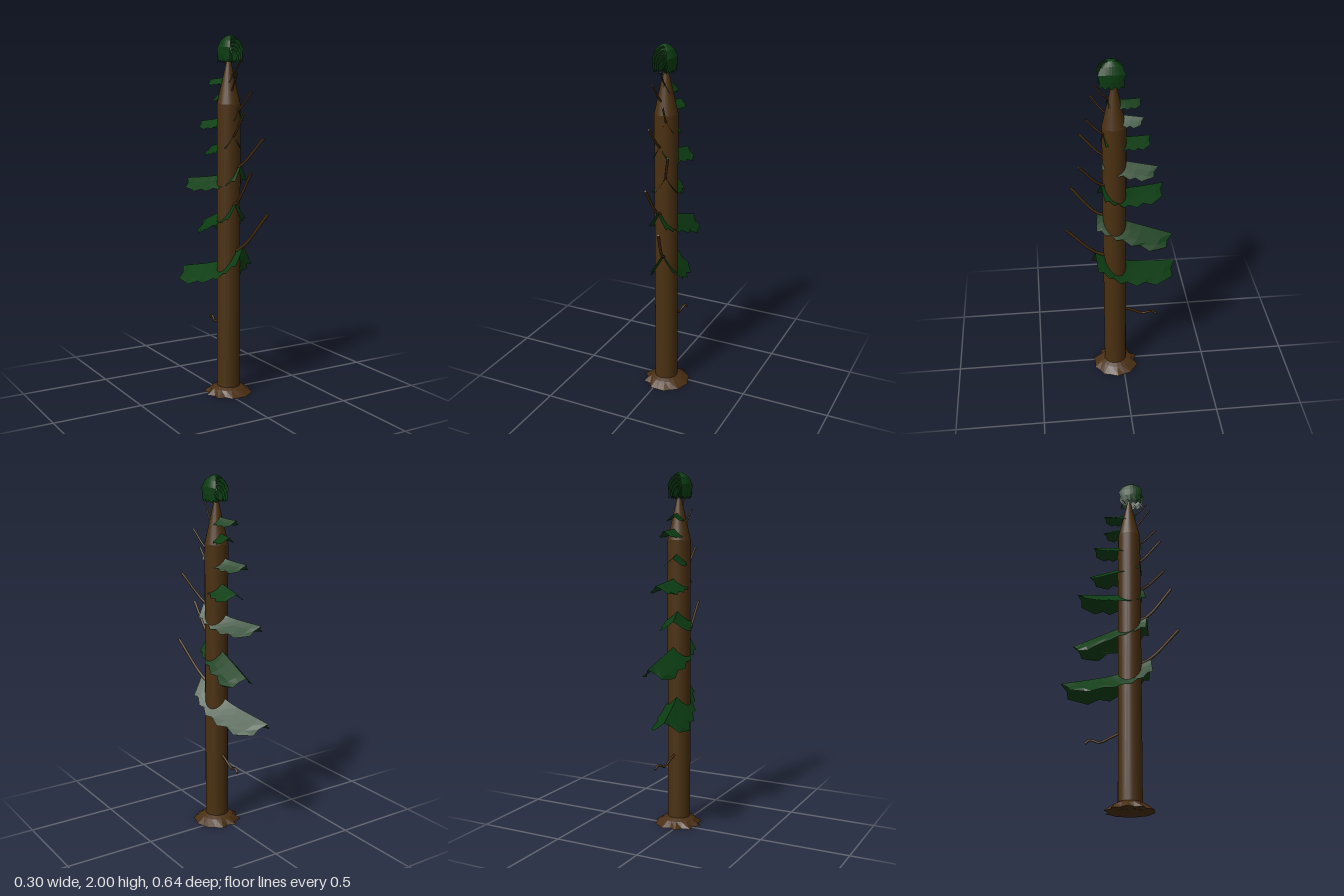
import * as THREE from 'three';

const CX = 0.027, CZ = 0.045; // trunk axis

function mat(name, color, extra = {}) {
  const m = new THREE.MeshStandardMaterial({ color, ...extra });
  m.name = name;
  return m;
}

function mesh(name, geometry, material) {
  const m = new THREE.Mesh(geometry, material);
  m.name = name;
  return m;
}

// Sheet built from rows x cols points given by a rule point(i, j)
function sheet(rows, cols, point) {
  const pos = [], idx = [];
  for (let i = 0; i < rows; i++)
    for (let j = 0; j < cols; j++) pos.push(...point(i, j));
  for (let i = 0; i < rows - 1; i++)
    for (let j = 0; j < cols - 1; j++) {
      const a = i * cols + j, b = a + 1, c = a + cols, d = c + 1;
      idx.push(a, c, b, b, c, d);
    }
  const g = new THREE.BufferGeometry();
  g.setAttribute('position', new THREE.Float32BufferAttribute(pos, 3));
  g.setIndex(idx);
  const flat = g.toNonIndexed();
  flat.computeVertexNormals();
  return flat;
}

// Tent-folded leaf hanging on both sides of a ridge curve, with ragged edges
function frondGeometry(ridge, width, droop, sweep) {
  const rows = 10, cols = 7;
  const dir = ridge.getPoint(1).sub(ridge.getPoint(0)).setY(0).normalize();
  const side = new THREE.Vector3(-dir.z, 0, dir.x);
  return sheet(rows, cols, (i, j) => {
    const t = i / (rows - 1), s = (j - 3) / 3, a = Math.abs(s);
    const p = ridge.getPoint(t);
    const edge = a === 1 && i % 2 ? 0.84 : 1;
    const w = width * (0.6 + 0.4 * Math.min(1, t * 1.6)) * edge;
    let back = sweep * t * a * a;
    if (i === rows - 1 && j % 2 === 0) back += sweep * 0.28; // notched tip
    p.addScaledVector(side, s * w).addScaledVector(dir, -back);
    p.y -= droop * Math.pow(a, 0.9) * (1.25 - 0.25 * t) * edge;
    return [p.x, p.y, p.z];
  });
}

function twig(name, points, radius, material) {
  const curve = new THREE.CatmullRomCurve3(points, false, 'centripetal');
  const g = new THREE.Group();
  g.name = name;
  g.add(mesh('stem', new THREE.TubeGeometry(curve, 8, radius, 6), material));
  for (const [end, sign] of [[0, -1], [1, 1]]) {
    const cap = mesh('stemEnd', new THREE.CircleGeometry(radius, 6), material);
    const p = curve.getPoint(end);
    cap.position.copy(p);
    cap.lookAt(p.clone().addScaledVector(curve.getTangent(end), sign));
    g.add(cap);
  }
  return g;
}

export function createModel() {
  const root = new THREE.Group();
  root.name = 'tree';
  const bark = mat('bark brown', 0x4a3011);
  const rootBark = mat('root brown', 0x4a2f13, { flatShading: true, side: THREE.DoubleSide });
  const leaf = mat('needle green', 0x0c3d13, { flatShading: true, side: THREE.DoubleSide });
  const V = (x, y, z) => new THREE.Vector3(x, y, z);

  // Trunk and its tapering top
  const trunk = mesh('trunk', new THREE.CylinderGeometry(0.065, 0.065, 1.63, 20), bark);
  trunk.position.set(CX, 0.815, CZ);
  const taper = mesh('trunkTip', new THREE.CylinderGeometry(0.006, 0.065, 0.26, 20), bark);
  taper.position.set(CX, 1.76, CZ);
  root.add(trunk, taper);

  // Ragged root flare, closed underneath
  const n = 20;
  root.add(mesh('rootFlare', sheet(4, n + 1, (i, j) => {
    const k = j % n, a = (k / n) * Math.PI * 2;
    const left = Math.cos(a) < 0;
    const outer = k % 2 ? (left ? 0.112 : 0.128) : 0.137;
    const r = [0.062, 0.09, outer, 0][i], y = [0.046, 0.032, 0, 0.002][i];
    return [CX + r * Math.cos(a), y, CZ - 0.003 + r * Math.sin(a)];
  }), rootBark));

  // Branches: twig tip, front of leaf, ridge behind trunk, leaf end, width, droop, sweep
  const branches = [
    [[0.11, 1.05, 0.315], [0.055, 0.86, 0.16], [0.01, 0.755, -0.02], [-0.07, 0.68, -0.32], 0.108, 0.085, 0.1],
    [[0.022, 1.27, 0.285], [0.02, 1.1, 0.145], [0.03, 1.04, -0.02], [0.05, 0.95, -0.28], 0.092, 0.075, 0.085],
    [[0.13, 1.45, 0.24], [0.06, 1.3, 0.122], [0.005, 1.24, -0.02], [-0.08, 1.21, -0.235], 0.09, 0.068, 0.075],
    [[0.015, 1.585, 0.228], [0.02, 1.46, 0.11], [0.03, 1.42, -0.02], [0.05, 1.39, -0.19], 0.08, 0.055, 0.06],
    [[0.08, 1.7, 0.197], [0.055, 1.6, 0.106], [0.01, 1.555, -0.02], [-0.035, 1.535, -0.155], 0.064, 0.048, 0.045],
    [[0.008, 1.8, 0.168], [0.02, 1.7, 0.085], [0.03, 1.69, -0.01], [0.045, 1.68, -0.11], 0.054, 0.04, 0.035],
    [[0.045, 1.87, 0.15], [0.035, 1.79, 0.08], [0.02, 1.775, 0], [-0.005, 1.765, -0.1], 0.045, 0.036, 0.03],
  ];
  branches.forEach(([tip, front, mid, end, width, droop, sweep], i) => {
    const [T, F, M, E] = [tip, front, mid, end].map((p) => V(...p));
    const ridge = new THREE.CatmullRomCurve3([F, M, E], false, 'centripetal');
    const r = 0.0085 - i * 0.0007;
    root.add(twig('twig' + (i + 1), [T, F, F.clone().lerp(M, 0.45)], r, bark));
    root.add(mesh('frond' + (i + 1), frondGeometry(ridge, width, droop, sweep), leaf));
  });

  // Bare crooked twig low on the back
  root.add(twig('deadTwig', [V(0.025, 0.43, 0.01), V(0.03, 0.4, -0.06),
    V(0.035, 0.375, -0.125), V(0.045, 0.398, -0.17), V(0.05, 0.378, -0.2)], 0.007, bark));

  // Crown: nested arched tufts open at front and back
  const crown = new THREE.Group();
  crown.name = 'crown';
  const profile = [[-0.9, 0], [-1, 0.3], [-1, 0.56], [-0.75, 0.82], [-0.35, 0.96], [0, 1],
    [0.35, 0.96], [0.75, 0.82], [1, 0.56], [1, 0.3], [0.9, 0]];
  const depth = [0.068, 0.062, 0.072, 0.056, 0.036, 0.02];
  for (let k = 0; k < 4; k++) {
    const s = 1 - k * 0.22, h = 0.148 - k * 0.022;
    crown.add(mesh('tuft' + (k + 1), sheet(profile.length, 9, (i, j) => {
      const [x, y] = profile[i], v = (j - 4) / 4;
      const d = depth[Math.min(i, 10 - i)] * (1 - k * 0.06);
      const rag = (i === 0 || i === 10) && j % 2 ? 0.016 : 0;
      const pinch = 1 - 0.3 * v * v;
      return [CX + x * 0.058 * s * pinch, 1.852 + y * h + rag - 0.012 * v * v * y, 0.058 + v * d];
    }), leaf));
  }
  root.add(crown);
  return root;
}
